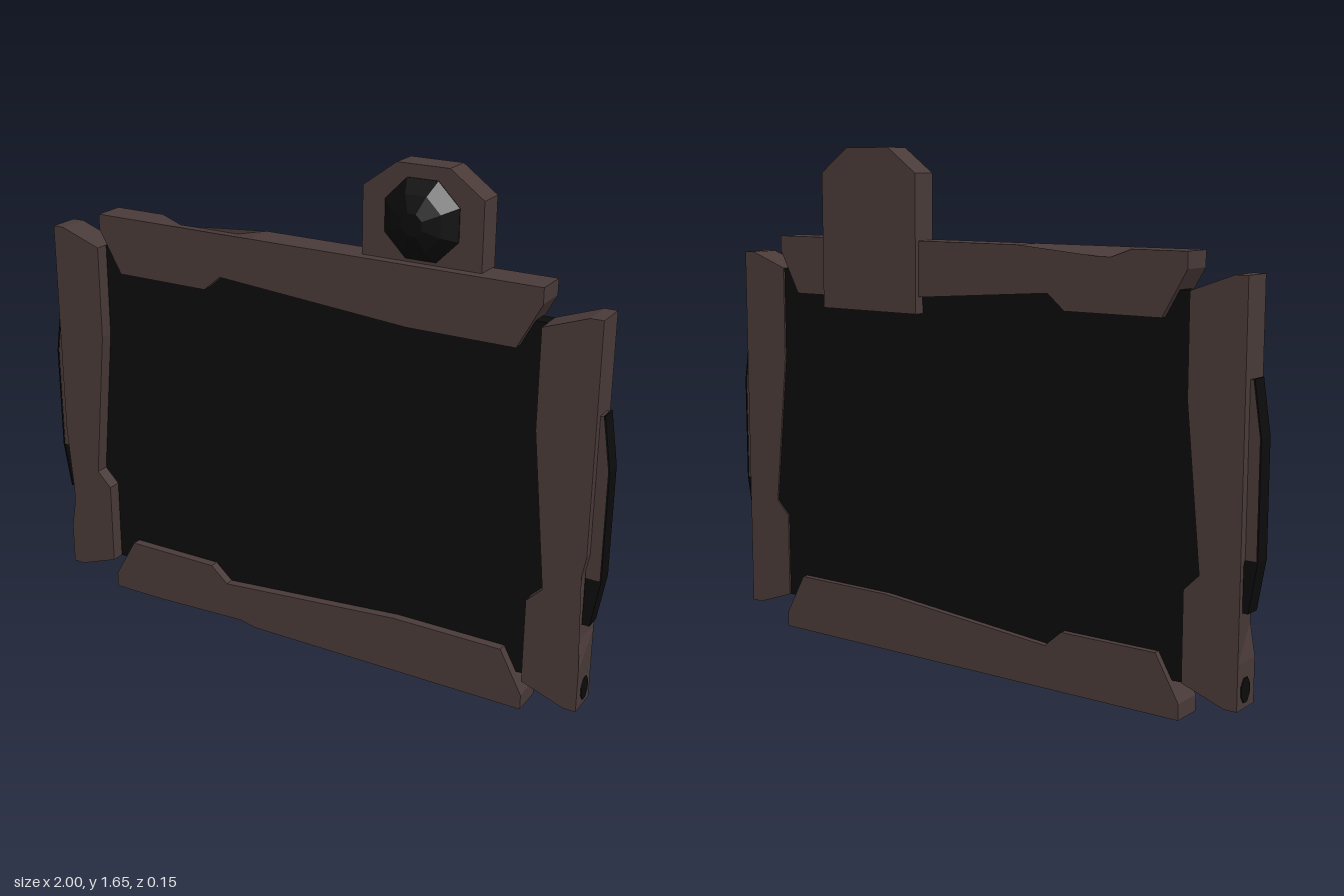
import * as THREE from 'three';

const brown = new THREE.MeshStandardMaterial({ color: 0x4a3b39, flatShading: true });
brown.name = 'brown casing';
const black = new THREE.MeshStandardMaterial({ color: 0x0c0c0c, flatShading: true });
black.name = 'black';

// Outline in x/y extruded between two z values
function slab(points, z0, z1) {
  const shape = new THREE.Shape(points.map(([x, y]) => new THREE.Vector2(x, y)));
  const g = new THREE.ExtrudeGeometry(shape, { depth: z1 - z0, bevelEnabled: false });
  return g.translate(0, 0, z0);
}

// Move every vertex lying at a given spot
function shift(g, x, y, z, dx, dy) {
  const p = g.attributes.position;
  for (let i = 0; i < p.count; i++) {
    if (Math.abs(p.getX(i) - x) < 1e-4 && Math.abs(p.getY(i) - y) < 1e-4 && Math.abs(p.getZ(i) - z) < 1e-4) {
      p.setXY(i, x + dx, y + dy);
    }
  }
}

export function createModel() {
  const model = new THREE.Group();
  model.name = 'framedScreen';
  const add = (name, g, material, parent = model) => {
    g.computeVertexNormals();
    const m = new THREE.Mesh(g, material);
    m.name = name;
    parent.add(m);
    return m;
  };

  // Dark panel held by the frame
  add('screen', new THREE.BoxGeometry(1.72, 1.14, 0.055).translate(0, 0.68, -0.012), black);

  // Top bar, with a shallow dent in its rear upper edge
  const top = slab([
    [0.775, 1.36], [-0.2, 1.36], [-0.31, 1.36], [-0.53, 1.36], [-0.6, 1.36], [-0.78, 1.36],
    [-0.78, 1.31], [-0.7, 1.17], [-0.37, 1.17], [-0.31, 1.22], [0.35, 1.17], [0.7, 1.17], [0.775, 1.31],
  ], -0.06, 0.045);
  shift(top, -0.31, 1.36, -0.06, 0, -0.025);
  shift(top, -0.53, 1.36, -0.06, 0, -0.025);
  add('topBar', top, brown);

  // Bottom bar, with a shallow dent in its front lower edge
  const bottom = slab([
    [-0.78, 0], [-0.6, 0], [-0.53, 0], [-0.31, 0], [-0.2, 0], [0.775, 0],
    [0.775, 0.05], [0.7, 0.19], [0.33, 0.19], [-0.31, 0.137], [-0.37, 0.19], [-0.7, 0.19], [-0.78, 0.05],
  ], -0.06, 0.045);
  shift(bottom, -0.53, 0, 0.045, 0, 0.025);
  shift(bottom, -0.31, 0, 0.045, 0, 0.025);
  add('bottomBar', bottom, brown);

  // Side bars with grips and sockets, mirrored
  for (const s of [1, -1]) {
    const side = new THREE.Group();
    side.name = s > 0 ? 'leftSide' : 'rightSide';
    model.add(side);
    const flip = (pts) => pts.map(([x, y]) => [s * x, y]);

    const bar = slab(flip([
      [0.96, 0.06], [0.96, 0.2], [0.96, 0.3], [0.96, 0.48], [0.96, 0.58], [0.96, 1.3], [0.92, 1.3],
      [0.78, 1.25], [0.78, 0.94], [0.83, 0.44], [0.78, 0.39], [0.78, 0.11], [0.92, 0.06],
    ]), -0.045, 0.06);
    shift(bar, s * 0.96, 0.3, 0.06, -s * 0.018, 0);
    shift(bar, s * 0.96, 0.48, 0.06, -s * 0.018, 0);
    add('sideBar', bar, brown, side);

    // Grip: brown upper body, black lower end, black outer face
    add('gripBody', slab(flip([
      [0.95, 0.5], [0.996, 0.5], [0.996, 0.85], [0.971, 1.012], [0.95, 1.012],
    ]), -0.018, 0.033), brown, side);
    add('gripEnd', slab(flip([
      [0.95, 0.345], [0.97, 0.345], [0.996, 0.5], [0.95, 0.5],
    ]), -0.018, 0.033), black, side);
    add('gripFace', slab(flip([
      [0.969, 0.345], [0.974, 0.345], [1, 0.5], [1, 0.85], [0.975, 1.015], [0.97, 1.015],
      [0.995, 0.85], [0.995, 0.5],
    ]), -0.02, 0.035), black, side);

    // Small socket near the foot of the bar
    const socket = new THREE.CylinderGeometry(0.033, 0.033, 0.006, 8);
    socket.rotateY(Math.PI / 8).rotateZ(Math.PI / 2).scale(1, 1.2, 0.85).translate(s * 0.96, 0.115, 0.002);
    add('socket', socket, black, side);
  }

  // Camera housing and the plate behind it
  add('cameraHousing', slab([
    [0.18, 1.3], [0.57, 1.3], [0.57, 1.57], [0.46, 1.65], [0.29, 1.65], [0.18, 1.57],
  ], -0.075, 0.012), brown);
  add('cameraBackPlate', slab([[0.18, 1.13], [0.57, 1.13], [0.57, 1.3], [0.18, 1.3]], -0.075, -0.035), brown);

  // Eight-sided domed lens
  const profile = [[0.13, 0.005], [0.13, 0.014], [0.088, 0.055], [0.035, 0.078], [0, 0.078]];
  const lens = new THREE.LatheGeometry(profile.map(([r, h]) => new THREE.Vector2(r, h)), 8, Math.PI / 8);
  lens.rotateX(Math.PI / 2).translate(0.375, 1.49, 0);
  add('lens', lens, black);

  return model;
}
